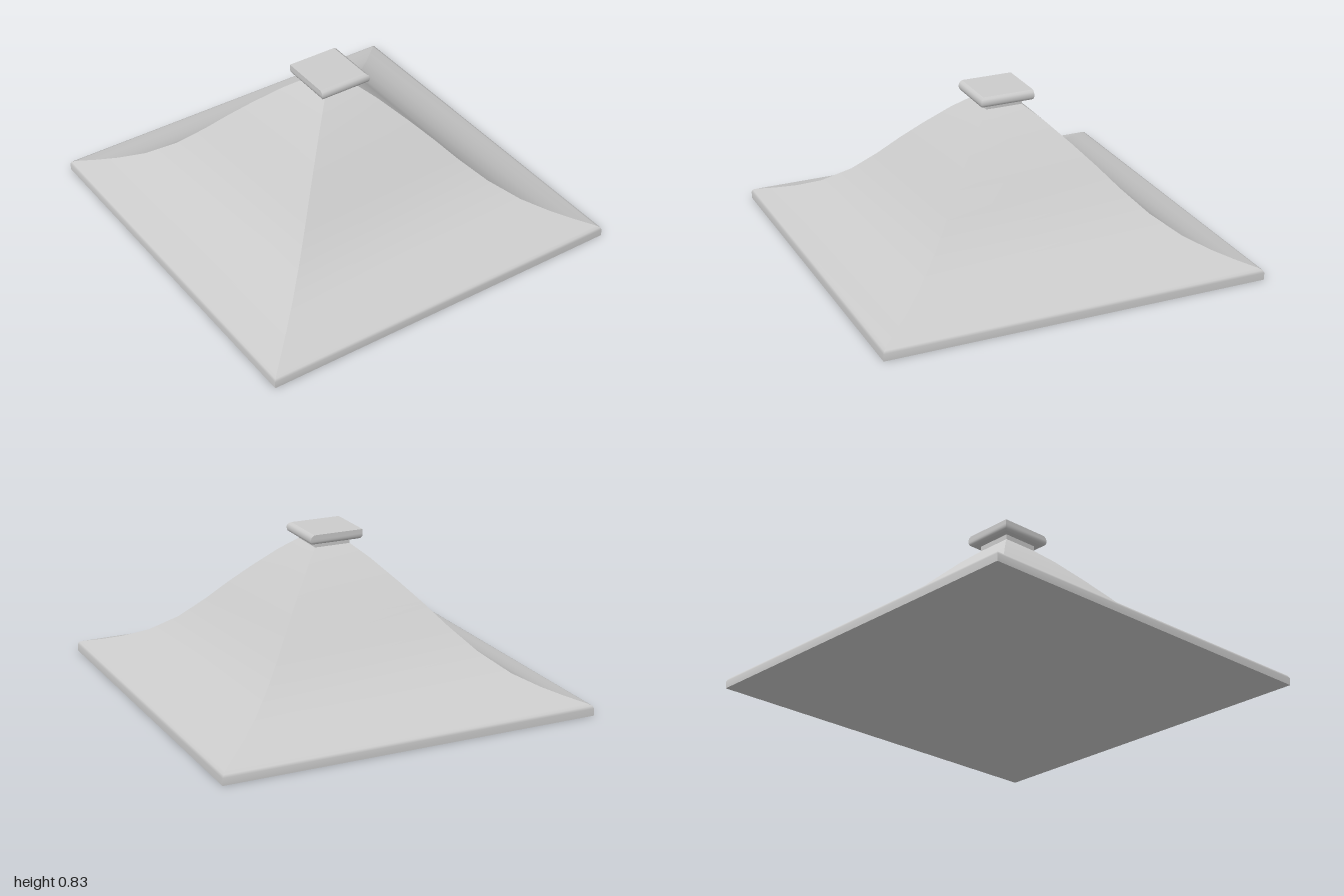
import * as THREE from 'three';

const material = new THREE.MeshStandardMaterial({ color: 0xcccccc });

// Loft through rectangular rings [xMin, xMax, zMin, zMax, y], bottom to top.
// Each side is smooth along its height, with sharp mitred corners.
function rectLoft(name, rings) {
  const positions = [], index = [];
  const corners = ([x0, x1, z0, z1, y]) => [[x0, y, z1], [x1, y, z1], [x1, y, z0], [x0, y, z0]];
  for (let side = 0; side < 4; side++) {
    const start = positions.length / 3;
    rings.forEach((ring, i) => {
      const c = corners(ring);
      positions.push(...c[side], ...c[(side + 1) % 4]);
      if (i > 0) {
        const a = start + (i - 1) * 2;
        index.push(a, a + 1, a + 3, a, a + 3, a + 2);
      }
    });
  }
  // flat lids
  for (const [ring, up] of [[rings[0], false], [rings[rings.length - 1], true]]) {
    const s = positions.length / 3;
    corners(ring).forEach((p) => positions.push(...p));
    index.push(...(up ? [s, s + 1, s + 2, s, s + 2, s + 3] : [s, s + 2, s + 1, s, s + 3, s + 2]));
  }
  const geometry = new THREE.BufferGeometry();
  geometry.setAttribute('position', new THREE.Float32BufferAttribute(positions, 3));
  geometry.setIndex(index);
  geometry.computeVertexNormals();
  const mesh = new THREE.Mesh(geometry, material);
  mesh.name = name;
  return mesh;
}

export function createModel() {
  const group = new THREE.Group();
  group.name = 'canopy';
  const stretch = 1 / 0.984; // slightly deeper than wide
  const symmetric = ([r, y]) => [-r, r, -r * stretch, r * stretch, y];

  // Bell-curved hood with a rounded rim
  const profile = [
    [0.984, 0], [0.984, 0.037], [0.978, 0.05], [0.963, 0.058],
    [0.88, 0.084], [0.795, 0.116], [0.69, 0.168], [0.568, 0.262], [0.46, 0.375],
    [0.37, 0.48], [0.28, 0.578], [0.17, 0.69], [0.095, 0.755],
  ];
  group.add(rectLoft('hood', profile.map(symmetric)));

  // Short neck under the cap
  group.add(rectLoft('neck', [[0.095, 0.753], [0.095, 0.79]].map(symmetric)));

  // Cap: right and back sides square at the top, left and front sides rounded
  const cap = [
    [0.125, 0.125, 0.782], [0.137, 0.137, 0.788], [0.142, 0.14, 0.799],
    [0.142, 0.14, 0.812], [0.142, 0.135, 0.824], [0.142, 0.122, 0.833],
  ];
  group.add(rectLoft('cap', cap.map(([sharp, round, y]) => [-sharp, round, -sharp * stretch, round * stretch, y])));

  return group;
}
